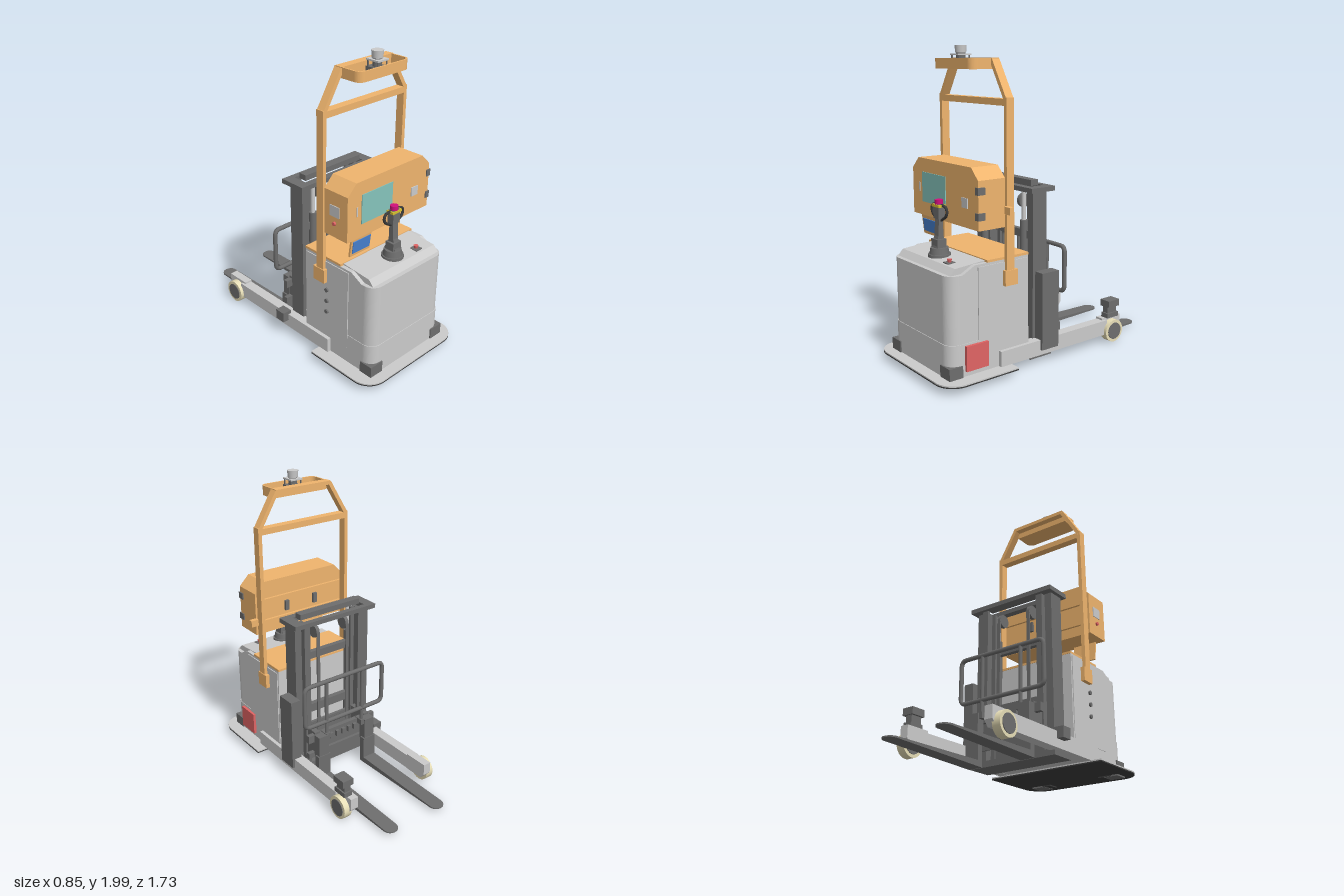
import * as THREE from 'three';

const mat = (color) => new THREE.MeshStandardMaterial({ color });
const GREY = mat(0xcccccc), DARK = mat(0x6e6e6e), BLACK = mat(0x3c3c3c), ORANGE = mat(0xf0b56e);
const TEAL = mat(0x86c4bc), BLUE = mat(0x4a86d8), RED = mat(0xe06464), CREAM = mat(0xe8dfb8);
const MAGENTA = mat(0xd0107c), YELLOW = mat(0xd8c030);

export function createModel() {
  const root = new THREE.Group();
  root.name = 'palletStacker';
  const add = (name, geo, m, x = 0, y = 0, z = 0) => {
    const mesh = new THREE.Mesh(geo, m);
    mesh.name = name;
    mesh.position.set(x, y, z);
    root.add(mesh);
    return mesh;
  };
  // box given by its limits
  const box = (name, m, x0, x1, y0, y1, z0, z1) =>
    add(name, new THREE.BoxGeometry(x1 - x0, y1 - y0, z1 - z0), m, (x0 + x1) / 2, (y0 + y1) / 2, (z0 + z1) / 2);
  // same box on both sides
  const pair = (name, m, x0, x1, ...r) => { box(name, m, x0, x1, ...r); box(name, m, -x1, -x0, ...r); };
  const cyl = (name, m, r0, r1, h, x, y, z, axis = 'y', n = 28) => {
    const g = new THREE.CylinderGeometry(r0, r1, h, n);
    if (axis === 'x') g.rotateZ(Math.PI / 2);
    if (axis === 'z') g.rotateX(Math.PI / 2);
    return add(name, g, m, x, y, z);
  };
  const poly = (pts) => new THREE.Shape(pts.map((p) => new THREE.Vector2(...p)));
  const extrude = (shape, depth) => new THREE.ExtrudeGeometry(shape, { depth, bevelEnabled: false, curveSegments: 10 });
  // plan shape (x, z) between two heights
  const slab = (name, m, shape, y0, y1) => add(name, extrude(shape, y1 - y0).rotateX(Math.PI / 2), m, 0, y1, 0);
  // side profile (z, y) between two x limits
  const sideProfile = (name, m, pts, x0, x1) => add(name, extrude(poly(pts), x1 - x0).rotateY(-Math.PI / 2), m, x1, 0, 0);
  // plan outline with both front corners rounded, optionally the back ones
  const plan = (w, z0, z1, r, rb = 0) => {
    const s = new THREE.Shape();
    s.moveTo(-w + rb, z0);
    s.lineTo(w - rb, z0);
    if (rb) s.absarc(w - rb, z0 + rb, rb, -Math.PI / 2, 0);
    s.lineTo(w, z1 - r);
    s.absarc(w - r, z1 - r, r, 0, Math.PI / 2);
    s.lineTo(-w + r, z1);
    s.absarc(-w + r, z1 - r, r, Math.PI / 2, Math.PI);
    s.lineTo(-w, z0 + rb);
    if (rb) s.absarc(-w + rb, z0 + rb, rb, Math.PI, Math.PI * 1.5);
    return s;
  };

  // skirt
  slab('skirtTop', GREY, plan(0.425, 0.35, 0.865, 0.13), 0.058, 0.066);
  slab('skirtUnderside', BLACK, plan(0.425, 0.35, 0.865, 0.13), 0.05, 0.058);
  for (const x of [-0.24, 0.24]) box('skirtPad', BLACK, x - 0.05, x + 0.05, 0.042, 0.05, 0.7, 0.78);

  // body housing
  slab('bodyLower', GREY, plan(0.33, 0.2, 0.787, 0.075), 0.066, 0.27);
  slab('bodyUpper', GREY, plan(0.327, 0.2, 0.783, 0.075), 0.27, 0.69);
  sideProfile('bodyShoulder', GREY, [[0.2, 0.69], [0.685, 0.69], [0.6, 0.735], [0.2, 0.735]], -0.327, 0.327);
  sideProfile('bodyPlateau', GREY, [[0.5, 0.69], [0.755, 0.69], [0.72, 0.728], [0.5, 0.745]], -0.3, 0.3);
  pair('sidePanel', GREY, 0.325, 0.333, 0.17, 0.72, 0.21, 0.58);
  box('topCover', ORANGE, -0.327, 0.327, 0.735, 0.75, 0.197, 0.51);
  pair('cornerBumper', DARK, 0.235, 0.338, 0.04, 0.14, 0.7, 0.795);
  box('sideLamp', RED, 0.325, 0.35, 0.1, 0.257, 0.52, 0.68);
  for (const y of [0.36, 0.44, 0.52]) cyl('sideSocket', DARK, 0.014, 0.014, 0.015, -0.337, y, 0.4, 'x');

  // support legs with wheels
  for (const s of [-1, 1]) {
    const [a, b] = s > 0 ? [0.285, 0.355] : [-0.355, -0.285];
    box('supportLeg', GREY, a, b, 0.065, 0.165, -0.47, 0.43);
    const [c, d] = s > 0 ? [0.282, 0.338] : [-0.338, -0.282];
    sideProfile('legEnd', GREY, [[-0.44, 0.065], [-0.44, 0.178], [-0.61, 0.178], [-0.61, 0.1], [-0.58, 0.065]], c, d);
    cyl('tire', CREAM, 0.077, 0.077, 0.055, s * 0.35, 0.085, -0.52, 'x', 40);
    cyl('wheelHub', DARK, 0.057, 0.057, 0.064, s * 0.35, 0.085, -0.52, 'x', 40);
  }
  box('legSensorFoot', DARK, 0.3, 0.36, 0.178, 0.21, -0.57, -0.47);
  box('legSensorNeck', DARK, 0.305, 0.35, 0.21, 0.255, -0.56, -0.48);
  box('legSensorHead', DARK, 0.29, 0.37, 0.255, 0.3, -0.57, -0.47);
  box('legClip', DARK, -0.4, -0.335, 0.12, 0.19, -0.025, 0.05);
  box('sideCase', DARK, 0.3, 0.372, 0.1, 0.605, -0.015, 0.12);

  // mast rails, made of channels
  for (const s of [-1, 1]) {
    const rail = (name, x, w, z0, z1, y0, y1) => {
      box(name, DARK, s * x - w / 2, s * x + w / 2, y0, y1, z0, z0 + 0.018);
      box(name, DARK, s * x - w / 2, s * x + w / 2, y0, y1, z1 - 0.018, z1);
      const e = s * (x + w / 2 - 0.008);
      box(name, DARK, e - 0.008, e + 0.008, y0, y1, z0, z1);
    };
    rail('outerRail', 0.275, 0.05, 0.03, 0.14, 0.05, 1.115);
    rail('innerRail', 0.22, 0.045, 0.005, 0.105, 0.06, 1.11);
    cyl('liftCylinder', DARK, 0.025, 0.025, 0.85, s * 0.21, 0.5, 0.14);
    cyl('liftRod', GREY, 0.014, 0.014, 0.2, s * 0.21, 1.01, 0.14);
    cyl('chainPulley', DARK, 0.045, 0.045, 0.025, s * 0.12, 1.03, 0.07, 'x');
    box('liftChain', DARK, s * 0.12 - 0.012, s * 0.12 + 0.012, 0.3, 1.03, 0.022, 0.03);
    box('mastTopSide', DARK, s * 0.29 - 0.035, s * 0.29 + 0.035, 1.11, 1.14, -0.018, 0.168);
  }
  box('mastFoot', DARK, -0.32, 0.32, 0.035, 0.075, 0, 0.175);
  box('mastTopFront', DARK, -0.32, 0.32, 1.11, 1.14, 0.12, 0.168);
  box('mastTopBack', DARK, -0.32, 0.32, 1.11, 1.14, -0.018, 0.02);
  box('mastTopBeam', DARK, -0.24, 0.24, 1.14, 1.177, 0.05, 0.108);
  box('mastCrossbar', DARK, -0.28, 0.28, 0.81, 0.86, 0.105, 0.14);
  box('mastCrossbarLow', DARK, -0.28, 0.28, 0.4, 0.46, 0.105, 0.14);
  box('mastLowerPlate', DARK, -0.27, 0.27, 0.075, 0.32, 0.1, 0.12);

  // fork carriage
  box('carriageTopBar', DARK, -0.28, 0.28, 0.29, 0.345, -0.08, -0.05);
  box('carriageLowerBar', DARK, -0.28, 0.28, 0.17, 0.21, -0.08, -0.05);
  pair('carriageSide', DARK, 0.19, 0.23, 0.17, 0.36, -0.08, 0.07);
  box('carriagePlate', DARK, -0.19, 0.19, 0.12, 0.3, -0.06, -0.05);
  for (let i = -2; i <= 2; i++) box('carriageTooth', DARK, i * 0.05 - 0.012, i * 0.05 + 0.012, 0.28, 0.32, -0.1, -0.08);

  // forks, tapering to the tip
  for (const s of [-1, 1]) {
    const x = s * 0.195;
    const g = extrude(plan(0.05, 0.1, 0.868, 0.048), 1).rotateX(Math.PI / 2).rotateY(Math.PI);
    const p = g.attributes.position;
    for (let i = 0; i < p.count; i++) {
      const t = (-p.getZ(i) - 0.1) / 0.768;
      p.setY(i, p.getY(i) > -0.5 ? 0.046 - 0.01 * t : 0.006 + 0.022 * t);
    }
    g.computeVertexNormals();
    add('fork', g, DARK, x, 0, 0);
    box('forkShank', DARK, x - 0.05, x + 0.05, 0.02, 0.2, -0.14, -0.1);
    box('forkHook', DARK, x - 0.04, x + 0.04, 0.18, 0.345, -0.135, -0.08);
  }

  // load backrest from bent tube
  const bendTube = (name, pts, r, m, closed = false) => {
    const path = new THREE.CurvePath();
    const v = pts.map((q) => new THREE.Vector3(...q));
    const n = v.length, near = (a, b) => a.clone().lerp(b, Math.min(0.04 / a.distanceTo(b), 0.5));
    let last = closed ? near(v[0], v[1]) : v[0];
    for (let i = 1; i < (closed ? n + 1 : n - 1); i++) {
      const c = v[i % n], a = near(c, v[i - 1]), b = near(c, v[(i + 1) % n]);
      path.add(new THREE.LineCurve3(last, a));
      path.add(new THREE.QuadraticBezierCurve3(a, c, b));
      last = b;
    }
    if (!closed) path.add(new THREE.LineCurve3(last, v[n - 1]));
    add(name, new THREE.TubeGeometry(path, 120, r, 8, closed), m);
  };
  bendTube('backrestFrame', [[-0.325, 0.435, -0.103], [0.325, 0.435, -0.103], [0.325, 0.735, -0.103], [-0.325, 0.735, -0.103]], 0.015, DARK, true);
  for (const x of [-0.15, 0.15]) cyl('backrestUpright', DARK, 0.013, 0.013, 0.41, x, 0.53, -0.103, 'y', 10);
  pair('backrestBracket', DARK, 0.13, 0.17, 0.31, 0.35, -0.125, -0.06);

  // overhead frame
  const beam = (name, x0, y0, x1, y1, w) => {
    const b = add(name, new THREE.BoxGeometry(w, Math.hypot(x1 - x0, y1 - y0), 0.055), ORANGE, (x0 + x1) / 2, (y0 + y1) / 2, 0.358);
    b.rotation.z = -Math.atan2(x1 - x0, y1 - y0);
  };
  for (const s of [-1, 1]) {
    beam('framePost', s * 0.343, 0.58, s * 0.343, 1.7, 0.026);
    beam('frameSlope', s * 0.343, 1.685, s * 0.205, 1.915, 0.026);
    box('framePostFoot', ORANGE, s * 0.344 - 0.017, s * 0.344 + 0.017, 0.575, 0.67, 0.305, 0.4);
  }
  box('frameCrossbar', ORANGE, -0.34, 0.34, 1.652, 1.692, 0.33, 0.386);
  box('frameTopBar', ORANGE, -0.213, 0.213, 1.9, 1.925, 0.33, 0.386);

  // sensor tray with a rim
  const rim = plan(0.21, 0.375, 0.525, 0.045);
  rim.holes.push(plan(0.2, 0.385, 0.515, 0.036));
  slab('trayRim', ORANGE, rim, 1.86, 1.923);
  slab('trayFloor', ORANGE, plan(0.205, 0.38, 0.52, 0.04), 1.86, 1.868);
  box('sensorFoot', DARK, -0.045, 0.045, 1.868, 1.905, 0.41, 0.505);
  box('sensorPlate', GREY, -0.045, 0.045, 1.94, 1.95, 0.41, 0.505);
  for (const x of [-0.037, 0.037]) for (const z of [0.42, 0.495]) cyl('sensorPost', DARK, 0.005, 0.005, 0.05, x, 1.92, z, 'y', 8);
  cyl('sensorNeck', DARK, 0.028, 0.028, 0.07, 0, 1.935, 0.457);
  cyl('sensorHead', GREY, 0.037, 0.033, 0.045, 0, 1.9775, 0.457);

  // control console
  add('console', extrude(poly([[-0.36, 0.942], [0.36, 0.942], [0.36, 1.237], [0.29, 1.307], [-0.29, 1.307], [-0.36, 1.237]]), 0.192), ORANGE, 0, 0, 0.402);
  box('display', TEAL, -0.245, 0.02, 1.03, 1.22, 0.592, 0.599);
  box('consoleSwitch', GREY, 0.195, 0.255, 1.06, 1.12, 0.592, 0.6);
  box('consoleSlot', GREY, -0.286, -0.276, 1.09, 1.15, 0.592, 0.597);
  for (const y of [1.025, 1.175]) {
    box('consoleHinge', DARK, 0.335, 0.368, y - 0.022, y + 0.022, 0.55, 0.6);
    box('consoleRearRail', ORANGE, -0.34, 0.34, y - 0.015, y + 0.015, 0.385, 0.402);
  }
  pair('consoleRearClip', DARK, 0.1, 0.13, 1.07, 1.14, 0.385, 0.402);
  box('consoleSideTab', ORANGE, 0.35, 0.41, 1.02, 1.065, 0.375, 0.405);
  box('consoleSidePlate', GREY, -0.365, -0.36, 1.08, 1.15, 0.45, 0.53);
  cyl('consoleSideButton', RED, 0.012, 0.012, 0.015, -0.365, 1.035, 0.49, 'x');

  // small tilted display below the console
  const panel = box('smallDisplayFrame', ORANGE, -0.3, -0.13, 0.81, 0.945, 0.555, 0.567);
  const glass = box('smallDisplay', BLUE, -0.285, -0.137, 0.83, 0.912, 0.566, 0.571);
  panel.rotation.x = glass.rotation.x = 0.12;

  // steering tiller
  cyl('tillerBase', DARK, 0.07, 0.075, 0.055, 0, 0.72, 0.635);
  cyl('tillerCollar', DARK, 0.055, 0.062, 0.04, 0, 0.767, 0.635);
  sideProfile('tillerArm', DARK, [[0.6, 0.78], [0.675, 0.78], [0.655, 0.86], [0.645, 1.0], [0.62, 1.0], [0.618, 0.86]], -0.022, 0.022);
  box('tillerRoot', DARK, -0.036, 0.036, 0.78, 0.84, 0.605, 0.67);
  box('tillerHead', DARK, -0.03, 0.03, 0.965, 1.055, 0.61, 0.655);
  for (const s of [-1, 1])
    bendTube('tillerHandle', [[s * 0.02, 1.05, 0.63], [s * 0.082, 1.045, 0.63], [s * 0.085, 0.99, 0.63], [s * 0.02, 0.955, 0.63]], 0.009, BLACK);
  box('tillerRocker', YELLOW, -0.04, 0.04, 1.038, 1.054, 0.608, 0.66);
  cyl('tillerButton', MAGENTA, 0.025, 0.025, 0.03, 0, 1.067, 0.632);

  // emergency stop
  box('stopPlate', DARK, 0.147, 0.203, 0.715, 0.735, 0.65, 0.705);
  cyl('stopButton', RED, 0.015, 0.009, 0.025, 0.175, 0.742, 0.677);
  return root;
}
